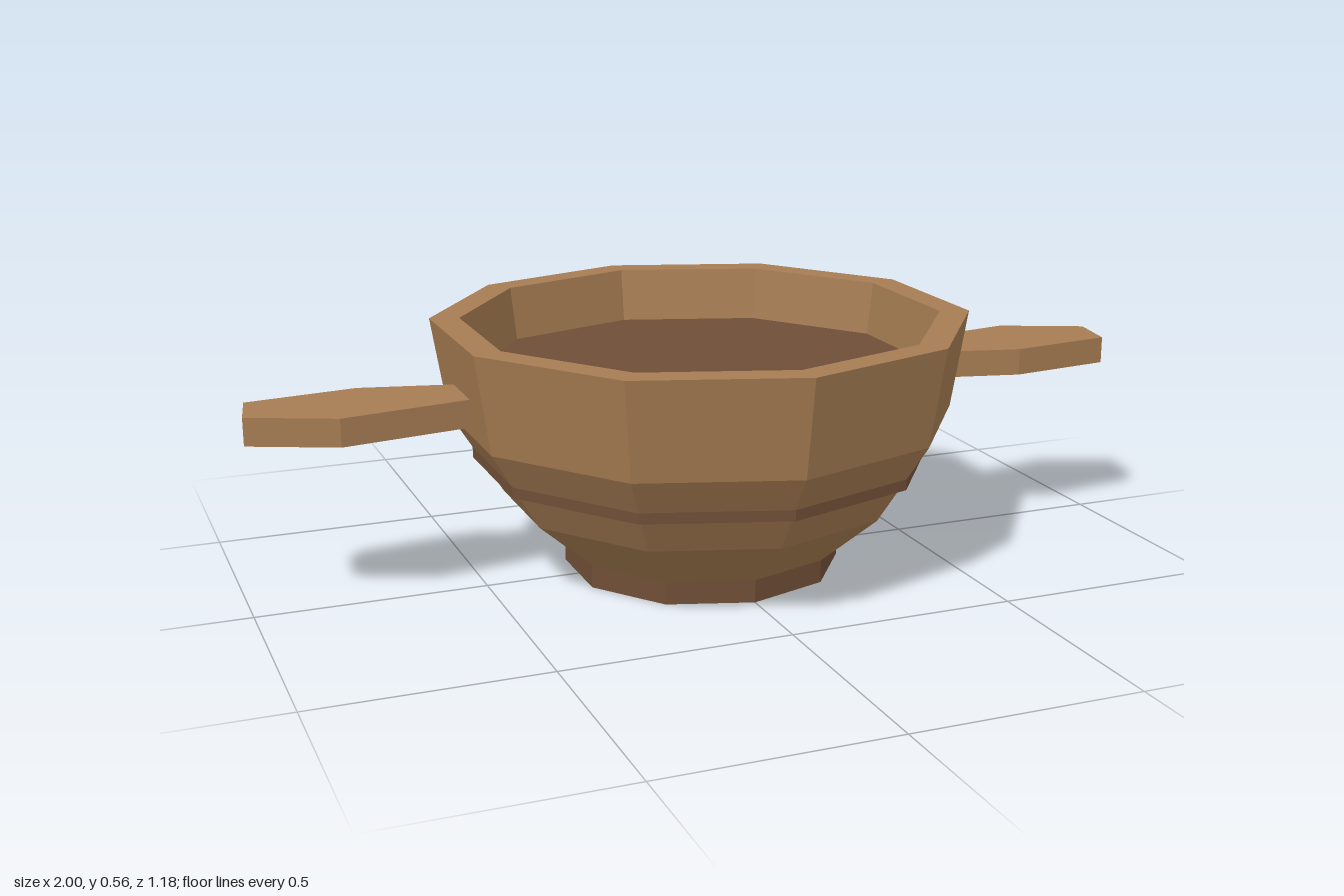
import * as THREE from 'three';

const SIDES = 10;

// Ten-sided turned part; outer profile runs upward, inner profile downward
function turned(name, profile, material) {
  const points = profile.map(([r, y]) => new THREE.Vector2(r, y));
  const mesh = new THREE.Mesh(new THREE.LatheGeometry(points, SIDES), material);
  mesh.name = name;
  return mesh;
}

export function createModel() {
  const wood = new THREE.MeshStandardMaterial({ color: 0xa67c52, flatShading: true });
  wood.name = 'light wood';
  const dark = new THREE.MeshStandardMaterial({ color: 0x6f4e37, flatShading: true });
  dark.name = 'dark wood';

  const model = new THREE.Group();
  model.name = 'twoHandledBowl';

  // Bowl: underside, flared wall, flat rim and inner wall
  model.add(turned('bowl', [
    [0, 0.05], [0.307, 0.05], [0.44, 0.165], [0.555, 0.345], [0.59, 0.56],
    [0.525, 0.56], [0.508, 0.43],
  ], wood));

  // Contents filling the bowl
  model.add(turned('filling', [[0.512, 0.44], [0, 0.44]], dark));

  // Decorative band around the belly
  model.add(turned('band', [
    [0.46, 0.245], [0.506, 0.245], [0.506, 0.275], [0.46, 0.275],
  ], dark));

  // Hollow foot ring
  model.add(turned('foot', [
    [0.22, 0.05], [0.22, 0], [0.307, 0], [0.307, 0.05],
  ], dark));

  // Two flat handles, the second turned half way round
  const outline = [
    [0.515, -0.065], [0.56, -0.073], [0.82, -0.115], [1, -0.035],
    [0.98, 0.08], [0.74, 0.11], [0.56, 0.067], [0.515, 0.057],
  ].map(([x, z]) => new THREE.Vector2(x, z));
  const handle = new THREE.ExtrudeGeometry(new THREE.Shape(outline), { depth: 0.06, bevelEnabled: false });
  handle.rotateX(Math.PI / 2).translate(0, 0.44, 0);
  ['leftHandle', 'rightHandle'].forEach((name, i) => {
    const mesh = new THREE.Mesh(handle, wood);
    mesh.name = name;
    mesh.rotation.y = i * Math.PI;
    model.add(mesh);
  });

  return model;
}
